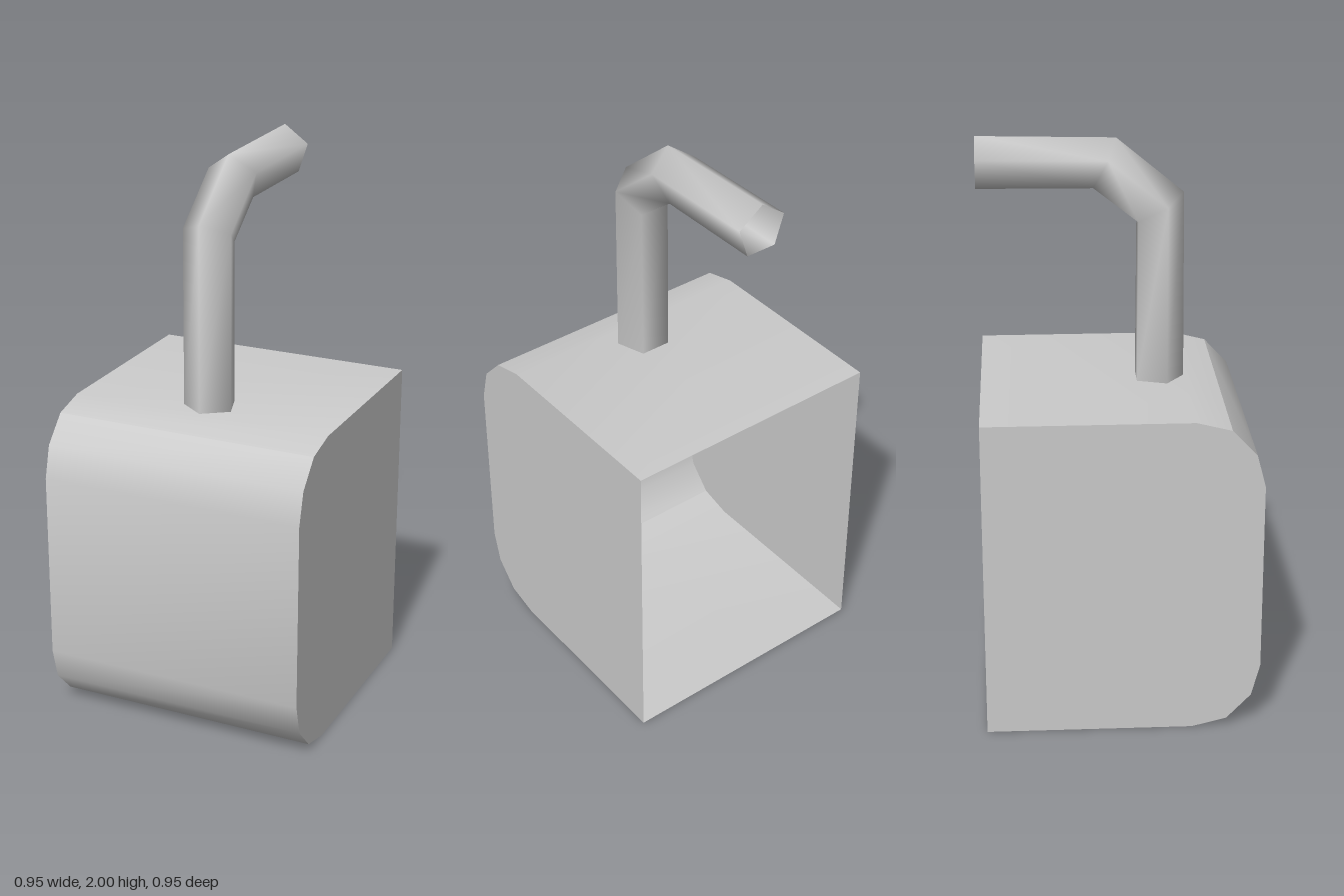
import * as THREE from 'three';
import { toCreasedNormals } from 'three/addons/utils/BufferGeometryUtils.js';

const material = new THREE.MeshStandardMaterial({ color: 0xcccccc, side: THREE.DoubleSide });
const HALF = 0.475;
const HEIGHT = 1.14;

// Joins successive rows of points with quads; closed rows form a tube.
function loft(rows, closed) {
  const n = rows[0].length;
  const index = [];
  for (let i = 0; i < rows.length - 1; i++) {
    for (let j = 0; j < (closed ? n : n - 1); j++) {
      const k = (j + 1) % n;
      const a = i * n + j, b = i * n + k, c = b + n, d = a + n;
      index.push(a, b, c, a, c, d);
    }
  }
  const geometry = new THREE.BufferGeometry();
  geometry.setAttribute('position', new THREE.Float32BufferAttribute(rows.flat(2), 3));
  geometry.setIndex(index);
  geometry.computeVertexNormals();
  return geometry;
}

function part(name, geometry) {
  const mesh = new THREE.Mesh(geometry, material);
  mesh.name = name;
  return mesh;
}

export function createModel() {
  const model = new THREE.Group();
  model.name = 'boxWithBentPipe';

  // Side profile as [z, y]: lower half, then mirrored to the top
  const lower = [[-HALF, 0], [0.24, 0], [0.36, 0.03], [0.445, 0.12], [HALF, 0.235]];
  const upper = lower.map(([z, y]) => [z, HEIGHT - y]).reverse();
  const profile = [...lower, ...upper];

  // Bottom, rounded front and top in one sheet; the back stays open
  const rows = profile.map(([z, y]) => [[-HALF, y, z], [HALF, y, z]]);
  model.add(part('bodyShell', toCreasedNormals(loft(rows, false), Math.PI / 6)));

  // Flat side walls
  for (const side of [1, -1]) {
    const shape = new THREE.Shape(profile.map(([z, y]) => new THREE.Vector2(-side * z, y)));
    const wall = part(side > 0 ? 'leftWall' : 'rightWall', new THREE.ShapeGeometry(shape));
    wall.rotation.y = side * Math.PI / 2;
    wall.position.x = side * HALF;
    model.add(wall);
  }

  // Open five-sided pipe: outer ridge and inner flat as [z, y] at each station
  const stations = [
    { outer: [0.237, HEIGHT], inner: [0.07, HEIGHT] },
    { outer: [0.232, 1.8], inner: [0.073, 1.71] },
    { outer: [0, 1.99], inner: [-0.08, 1.83] },
    { outer: [-HALF, 2], inner: [-HALF, 1.833] },
  ];
  // Pentagon corners as [x, fraction from outer to inner]
  const pentagon = [[0, 0], [0.089, 0.382], [0.055, 1], [-0.055, 1], [-0.089, 0.382]];
  const rings = stations.map(({ outer, inner }) => pentagon.map(([x, t]) => [
    x,
    THREE.MathUtils.lerp(outer[1], inner[1], t),
    THREE.MathUtils.lerp(outer[0], inner[0], t),
  ]));
  model.add(part('bentPipe', loft(rings, true)));

  return model;
}
